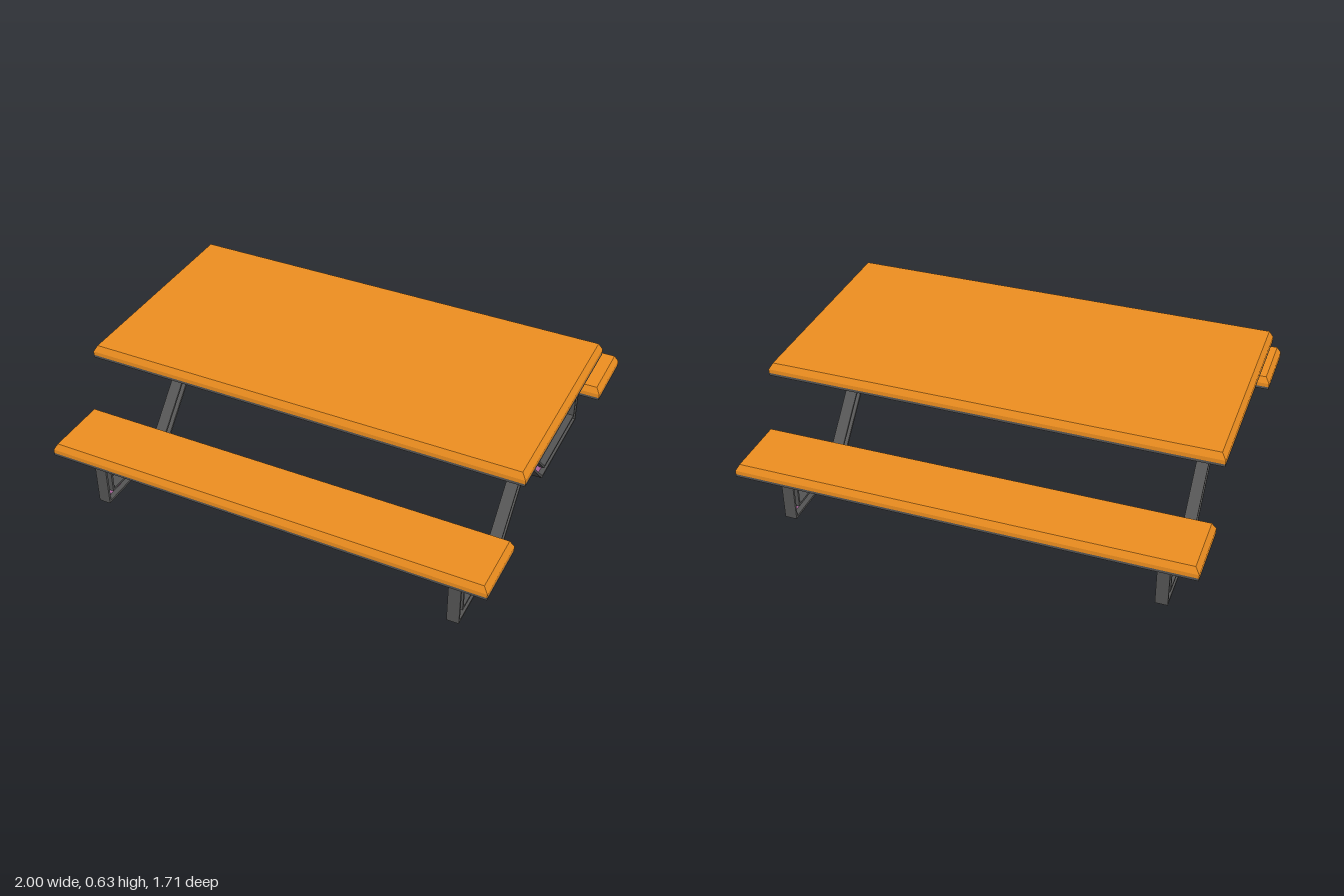
import * as THREE from 'three';

const wood = new THREE.MeshStandardMaterial({ color: 0xf09020 });
const steel = new THREE.MeshStandardMaterial({ color: 0x555555 });
const pink = new THREE.MeshStandardMaterial({ color: 0xd480c4 });

function add(parent, name, geometry, material) {
  const mesh = new THREE.Mesh(geometry, material);
  mesh.name = name;
  parent.add(mesh);
  return mesh;
}

// Wooden slab whose upper edges slope inwards, on a thin steel plate
function makeBoard(name, depth, y, z) {
  const board = new THREE.Group();
  board.name = name;
  const plateH = 0.012, slabH = 0.048, lip = 0.018;
  add(board, name + 'Plate', new THREE.BoxGeometry(2, plateH, depth), steel).position.y = plateH / 2;

  const slab = new THREE.BoxGeometry(2, slabH, depth, 1, 2, 1).toNonIndexed();
  const p = slab.attributes.position;
  for (let i = 0; i < p.count; i++) {
    const h = p.getY(i);
    if (Math.abs(h) < 1e-5) p.setY(i, lip - slabH / 2);
    else if (h > 0) {
      p.setX(i, p.getX(i) - Math.sign(p.getX(i)) * 0.018);
      p.setZ(i, p.getZ(i) - Math.sign(p.getZ(i)) * 0.011);
    }
  }
  slab.computeVertexNormals();
  add(board, name + 'Slab', slab, wood).position.y = plateH + slabH / 2;
  board.position.set(0, y, z);
  return board;
}

// Parallel copy of an open path with mitred corners; side +1 is left of travel
function offsetPath(path, distance, side) {
  const normal = (a, b) => new THREE.Vector2(a.y - b.y, b.x - a.x).normalize();
  return path.map((pt, i) => {
    const before = i > 0 ? normal(path[i - 1], pt) : normal(pt, path[1]);
    const after = i < path.length - 1 ? normal(pt, path[i + 1]) : before;
    const mitre = before.clone().add(after);
    return pt.clone().addScaledVector(mitre, side * distance / (1 + before.dot(after)));
  });
}

// Extrude a side profile (z, y) across x, centred on x = 0
function extrudeAcross(points, width) {
  const g = new THREE.ExtrudeGeometry(new THREE.Shape(points), { depth: width, bevelEnabled: false });
  return g.translate(0, 0, -width / 2).rotateY(-Math.PI / 2);
}

const toPath = (pts) => pts.map(([x, y]) => new THREE.Vector2(x, y));
const mirrored = (path) => path.map((p) => new THREE.Vector2(-p.x, p.y)).reverse();

// Crossed leg frame in I-section: flanges round the outline, recessed web between
function makeLegFrame() {
  const frame = new THREE.Group();
  frame.name = 'legFrame';
  const half = toPath([[0.745, 0.285], [0.745, 0], [0.2586, 0]]);
  const bottom = [...half, new THREE.Vector2(0, 0.273), ...mirrored(half)];
  const side = toPath([[0.699, 0.285], [0.699, 0.055], [0.283, 0.055], [0.038, 0.314], [0.284, 0.573]]);
  const top = toPath([[-0.207, 0.573], [0, 0.354], [0.207, 0.573]]);

  const flange = (name, path, dir) => {
    const inner = offsetPath(path, 0.011, dir).reverse();
    add(frame, name, extrudeAcross([...path, ...inner], 0.054), steel);
  };
  flange('lowerFlange', bottom, -1);
  flange('frontFlange', side, 1);
  flange('backFlange', mirrored(side), 1);
  flange('upperFlange', top, -1);

  // Web fills the outline, pulled in a little so it stays inside the flanges
  const outline = [
    ...offsetPath(bottom, 0.003, -1),
    ...offsetPath(mirrored(side), 0.003, 1),
    ...offsetPath(top, 0.003, -1),
    ...offsetPath(side, 0.003, 1).reverse(),
  ];
  // the back side is listed from the diagonal's top down to the post, so turn it round
  const n = bottom.length, m = side.length;
  const back = outline.slice(n, n + m).reverse();
  outline.splice(n, m, ...back.sort((a, b) => 0));
  const ordered = [
    ...outline.slice(0, n),
    ...offsetPath(side, 0.003, 1).map((p) => new THREE.Vector2(-p.x, p.y)),
    ...offsetPath(top, 0.003, -1),
    ...offsetPath(side, 0.003, 1).reverse(),
  ];
  add(frame, 'web', extrudeAcross(ordered, 0.006), pink);
  return frame;
}

export function createModel() {
  const model = new THREE.Group();
  model.name = 'picnicTable';

  model.add(makeBoard('tableTop', 0.99, 0.568, 0));
  model.add(makeBoard('frontBench', 0.297, 0.276, 0.704));
  model.add(makeBoard('backBench', 0.297, 0.276, -0.704));

  for (const s of [-1, 1]) {
    const frame = makeLegFrame();
    frame.name = s > 0 ? 'leftLegFrame' : 'rightLegFrame';
    frame.position.set(s * 0.836, 0, 0.018);
    model.add(frame);
  }
  return model;
}
